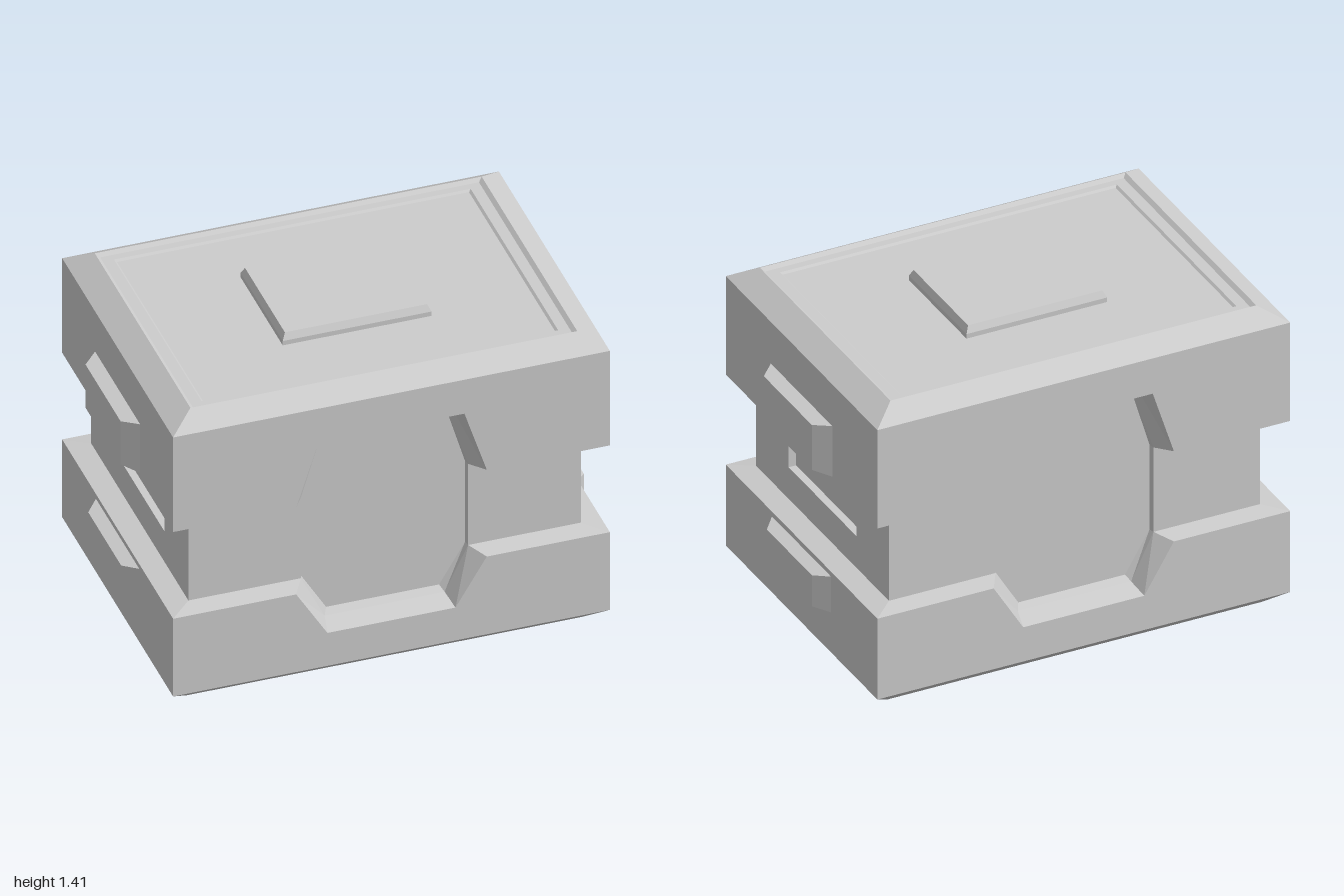
import * as THREE from 'three';

const material = new THREE.MeshStandardMaterial({ color: 0xcccccc, flatShading: true });

// Joins closed loops of equal length; skip(level, segment) leaves openings
function loft(loops, { capStart = false, capEnd = true, skip = () => false } = {}) {
  const pos = [];
  const tri = (a, b, c) => pos.push(...a, ...b, ...c);
  const n = loops[0].length;
  for (let k = 0; k < loops.length - 1; k++) {
    for (let i = 0; i < n; i++) {
      if (skip(k, i)) continue;
      const j = (i + 1) % n, p = loops[k], q = loops[k + 1];
      tri(p[i], p[j], q[j]);
      tri(p[i], q[j], q[i]);
    }
  }
  const cap = (loop, flip) => {
    const mid = [0, 1, 2].map(c => loop.reduce((s, p) => s + p[c], 0) / n);
    loop.forEach((p, i) => {
      const q = loop[(i + 1) % n];
      flip ? tri(mid, q, p) : tri(mid, p, q);
    });
  };
  if (capStart) cap(loops[0], true);
  if (capEnd) cap(loops[loops.length - 1], false);
  const geo = new THREE.BufferGeometry();
  geo.setAttribute('position', new THREE.Float32BufferAttribute(pos, 3));
  geo.computeVertexNormals();
  return geo;
}

// Horizontal outline with a notch step in the front and back edges
function ring(hx, hz, y, a = 0.405, b = 0.3, notchY = y) {
  const front = [[-hx, y, hz], [-a, y, hz], [-b, notchY, hz],
    [b, notchY, hz], [a, y, hz], [hx, y, hz]];
  return [...front, ...front.map(([x, h, z]) => [-x, h, -z])];
}

// Upright rectangle facing +z
const rect = (w, y0, y1, z) => [[-w, y0, z], [w, y0, z], [w, y1, z], [-w, y1, z]];

// Upright octagon facing +z
const octagon = (side, lowW, lowY, topW, topY, z) => [
  [-lowW, lowY, z], [lowW, lowY, z], [side, 0.457, z], [side, 0.852, z],
  [topW, topY, z], [-topW, topY, z], [-side, 0.852, z], [-side, 0.457, z]];

export function createModel() {
  const model = new THREE.Group();
  model.name = 'crate';
  const add = (name, geo, turn = 0) => {
    const mesh = new THREE.Mesh(geo, material);
    mesh.name = name;
    mesh.rotation.y = turn;
    model.add(mesh);
    return mesh;
  };

  // Shell: lower band, waist, upper band and stepped lid
  add('shell', loft([
    ring(0.84, 0.594, 0, 0.405, 0.272),
    ring(0.928, 0.673, 0.065, 0.405, 0.272),
    ring(0.928, 0.673, 0.443, 0.405, 0.272, 0.225),
    ring(0.834, 0.59, 0.457, 0.355, 0.255, 0.252),
    ring(0.834, 0.59, 0.852, 0.355, 0.29, 1.13),
    ring(0.928, 0.673, 0.865, 0.405, 0.31, 1.16),
    ring(0.928, 0.673, 1.325, 0.405, 0.31),
    ring(0.822, 0.58, 1.385),
    ring(0.805, 0.563, 1.372),
    ring(0.758, 0.531, 1.372),
    ring(0.748, 0.521, 1.364),
  ], { capStart: true, skip: (k, i) => k === 3 && [1, 2, 3, 5].includes(i % 6) }));

  // Raised plate on the lid
  const plate = loft([rect(0.316, -0.256, 0.256, 1.364), rect(0.316, -0.256, 0.256, 1.385),
    rect(0.302, -0.242, 0.242, 1.415)]);
  plate.rotateX(-Math.PI / 2);
  add('lidPlate', plate);

  // Recessed octagonal panels, front and back
  const panel = loft([octagon(0.355, 0.255, 0.252, 0.29, 1.13, 0.59),
    octagon(0.35, 0.24, 0.275, 0.275, 1.105, 0.565)]);
  add('frontPanel', panel);
  add('backPanel', panel, Math.PI);

  // Side walls of the waist with a slot, and the raised grips on both bands
  const slotWall = loft([rect(0.59, 0.457, 0.852, 0.834), rect(0.3, 0.605, 0.702, 0.834),
    rect(0.3, 0.605, 0.702, 0.8)]);
  const upperGrip = loft([rect(0.273, 0.893, 1.13, 0.928), rect(0.213, 0.91, 1.12, 0.99)]);
  const lowerGrip = loft([rect(0.263, 0.253, 0.42, 0.928), rect(0.2, 0.263, 0.408, 0.983)]);
  for (const [side, turn] of [['left', Math.PI / 2], ['right', -Math.PI / 2]]) {
    add(side + 'SlotWall', slotWall, turn);
    add(side + 'UpperGrip', upperGrip, turn);
    add(side + 'LowerGrip', lowerGrip, turn);
  }

  // The crate sits slightly turned
  model.rotation.y = 0.0365;
  const root = new THREE.Group();
  root.name = 'model';
  root.add(model);
  return root;
}
